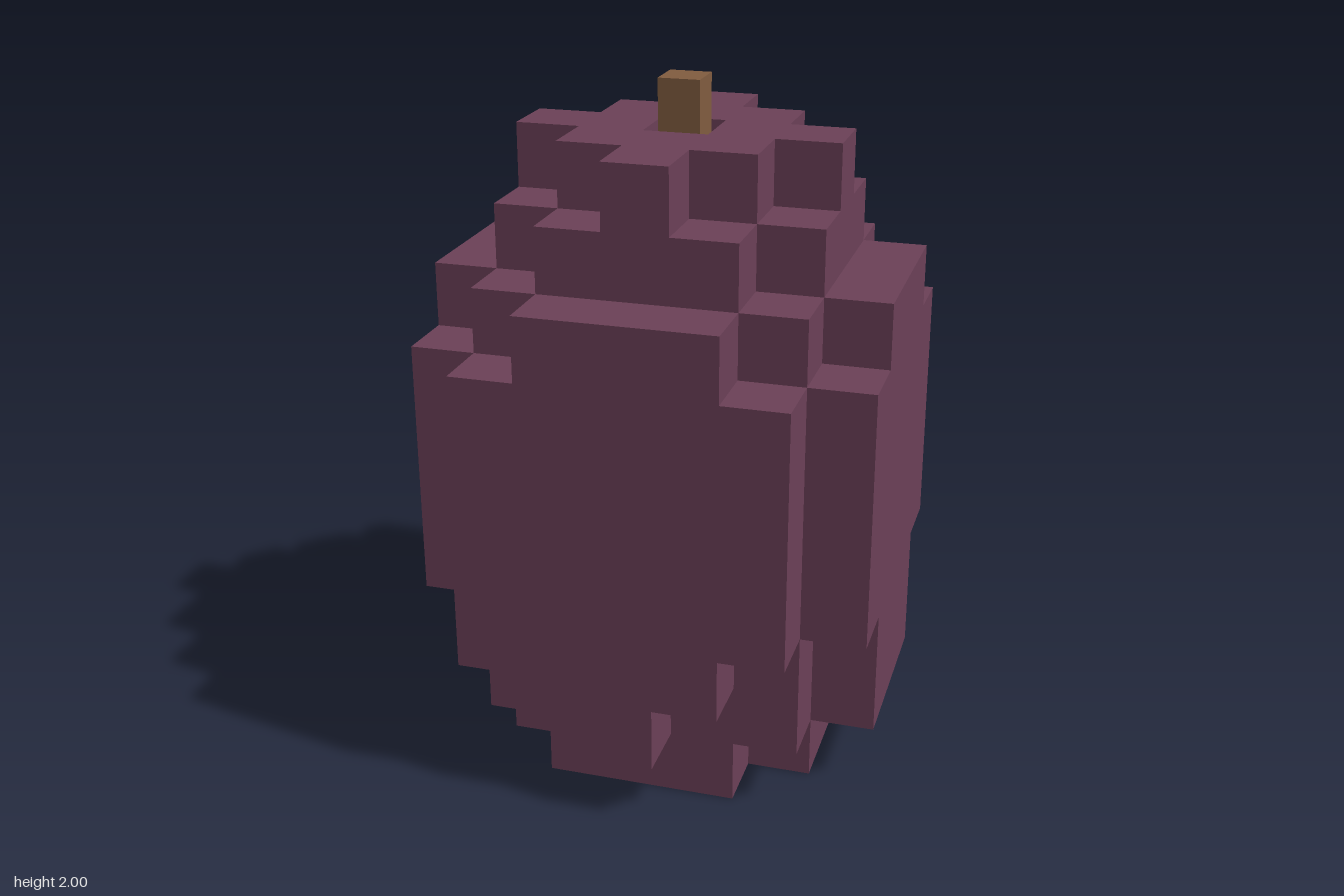
import * as THREE from 'three';
import { mergeGeometries } from 'three/addons/utils/BufferGeometryUtils.js';

const CELL = 0.186;

// Half-width in cells of each row, for |z| = 0, 1, 2, 3; one entry per layer, bottom to top
const BELLY = [3, 3, 3, 2];
const LAYERS = [
  [2, 2, 1], [3, 3, 2, 0], [3, 3, 2, 1],
  BELLY, BELLY, BELLY, BELLY,
  [3, 3, 2, 1], [2, 2, 1], [2, 1, 0],
];
const TOP = LAYERS.length - 1;

function filled(x, y, z) {
  if (y === TOP && x === 0 && z === 0) return false; // socket for the stem
  const half = LAYERS[y]?.[Math.abs(z)];
  return half !== undefined && Math.abs(x) <= half;
}

// One square per exposed cell side
function voxelGeometry() {
  const sides = [[1, 0, 0], [-1, 0, 0], [0, 1, 0], [0, -1, 0], [0, 0, 1], [0, 0, -1]].map(([x, y, z]) => {
    const face = new THREE.PlaneGeometry(CELL, CELL).translate(0, 0, CELL / 2);
    if (y) face.rotateX(-y * Math.PI / 2);
    else face.rotateY(Math.atan2(x, z));
    return { x, y, z, face };
  });
  const faces = [];
  for (let y = 0; y <= TOP; y++)
    for (let x = -3; x <= 3; x++)
      for (let z = -3; z <= 3; z++) {
        if (!filled(x, y, z)) continue;
        for (const s of sides)
          if (!filled(x + s.x, y + s.y, z + s.z))
            faces.push(s.face.clone().translate(x * CELL, (y + 0.5) * CELL, z * CELL));
      }
  return mergeGeometries(faces);
}

export function createModel() {
  const model = new THREE.Group();
  model.name = 'blockFruit';

  const plum = new THREE.MeshStandardMaterial({ color: 0x6c4158 });
  plum.name = 'plumSkin';
  const brown = new THREE.MeshStandardMaterial({ color: 0x825d40 });
  brown.name = 'brownStem';

  // Stepped fruit body
  const body = new THREE.Mesh(voxelGeometry(), plum);
  body.name = 'fruitBody';
  model.add(body);

  // Stem standing in the socket
  const stemBase = TOP * CELL;
  const stem = new THREE.Mesh(new THREE.BoxGeometry(0.12, 2 - stemBase, 0.12), brown);
  stem.position.y = (2 + stemBase) / 2;
  stem.name = 'stem';
  model.add(stem);

  return model;
}
